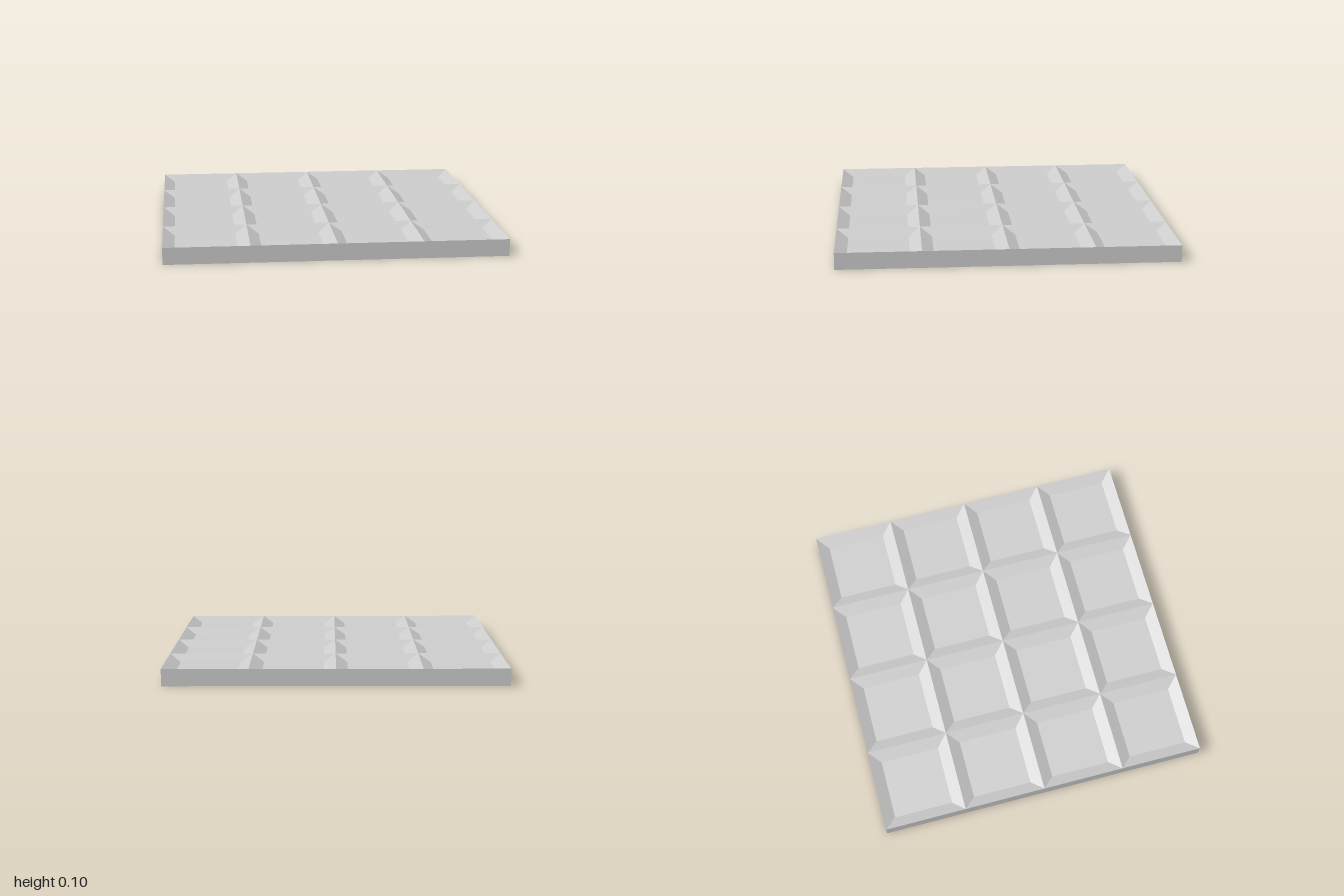
import * as THREE from 'three';

const SIZE = 2, HEIGHT = 0.1, COUNT = 4, INSET = 0.07, DEPTH = 0.04;

// Sunken square panel: four sloping walls and a flat floor, rim at y = 0
function cofferGeometry(size) {
  const corners = [[-1, -1], [-1, 1], [1, 1], [1, -1]];
  const ring = (half, y) => corners.flatMap(([x, z]) => [x * half, y, z * half]);
  const index = [4, 5, 6, 4, 6, 7];
  for (let i = 0; i < 4; i++) {
    const j = (i + 1) % 4;
    index.push(i, j, j + 4, i, j + 4, i + 4);
  }
  const g = new THREE.BufferGeometry();
  g.setAttribute('position', new THREE.Float32BufferAttribute(
    [...ring(size / 2, 0), ...ring(size / 2 - INSET, -DEPTH)], 3));
  g.setIndex(index);
  const flat = g.toNonIndexed();
  flat.computeVertexNormals();
  return flat;
}

export function createModel() {
  const group = new THREE.Group();
  group.name = 'cofferedPanel';
  const material = new THREE.MeshStandardMaterial({ color: 0xcccccc, flatShading: true });

  // Slab sides and underside: a box without its top face
  const slab = new THREE.BoxGeometry(SIZE, HEIGHT, SIZE);
  const faces = Array.from(slab.index.array);
  faces.splice(12, 6);
  slab.setIndex(faces);
  slab.clearGroups();
  const base = new THREE.Mesh(slab, material);
  base.name = 'slab';
  base.position.y = HEIGHT / 2;
  group.add(base);

  // Grid of coffers meeting along sharp ridges
  const cell = SIZE / COUNT;
  const geometry = cofferGeometry(cell);
  for (let row = 0; row < COUNT; row++) {
    for (let col = 0; col < COUNT; col++) {
      const coffer = new THREE.Mesh(geometry, material);
      coffer.name = `coffer_${row + 1}_${col + 1}`;
      coffer.position.set((col + 0.5) * cell - SIZE / 2, HEIGHT, (row + 0.5) * cell - SIZE / 2);
      group.add(coffer);
    }
  }
  return group;
}
